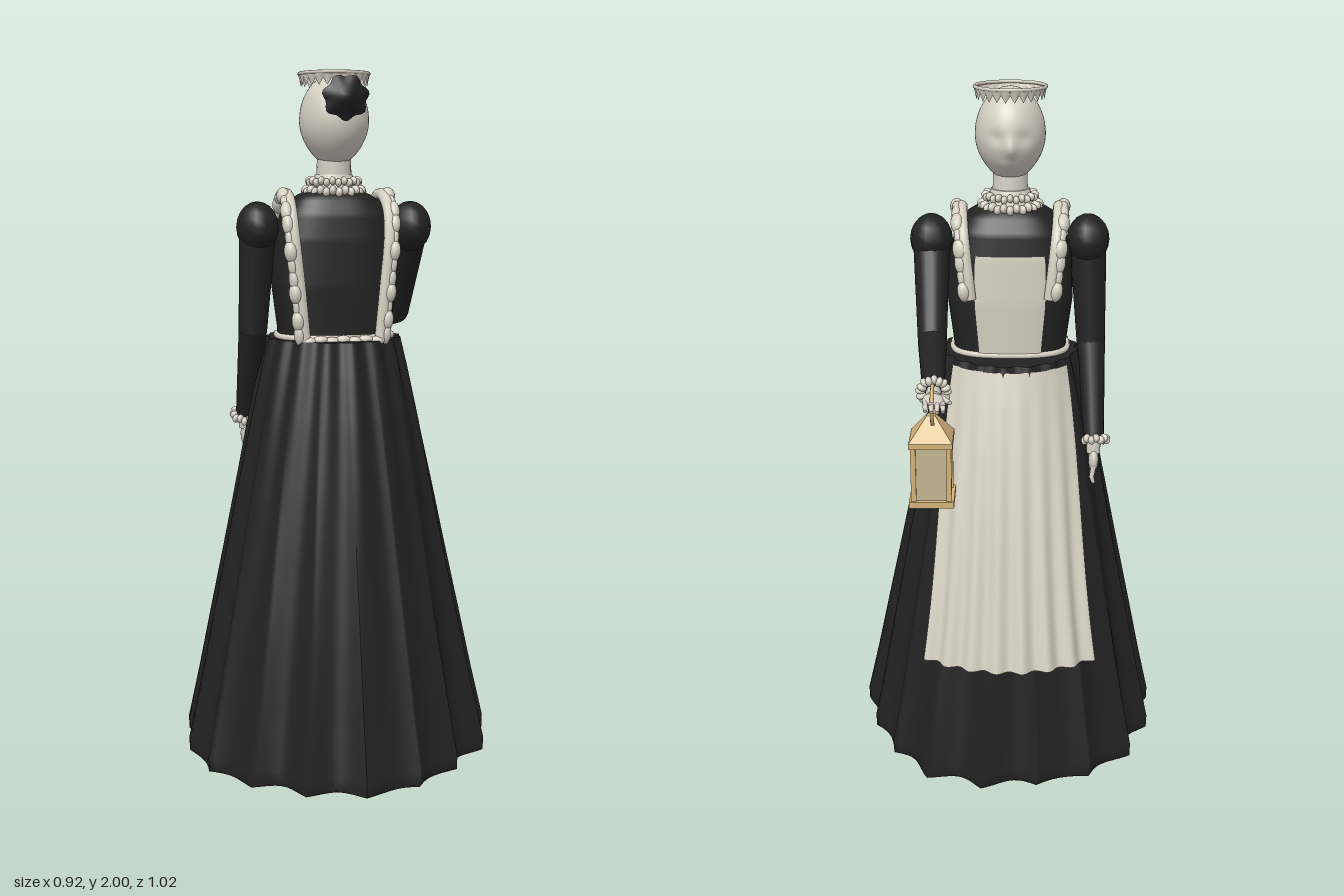
import * as THREE from 'three';
import { ParametricGeometry } from 'three/addons/geometries/ParametricGeometry.js';

const mat = (name, color, side = THREE.FrontSide) => {
  const m = new THREE.MeshStandardMaterial({ color, side });
  m.name = name;
  return m;
};
const V = (x, y, z) => new THREE.Vector3(x, y, z);
const UP = V(0, 1, 0);

// Piecewise-linear lookup: rows are [y, a, b, ...], ascending in y
function sample(rows, y) {
  let i = 0;
  while (i < rows.length - 2 && y > rows[i + 1][0]) i++;
  const t = THREE.MathUtils.clamp((y - rows[i][0]) / (rows[i + 1][0] - rows[i][0]), 0, 1);
  return rows[i].map((a, k) => a + (rows[i + 1][k] - a) * t);
}

// Skirt: round bell whose pleats deepen toward the hem
const SKIRT = [[0, 0.436], [0.03, 0.44], [0.2, 0.405], [0.4, 0.367], [0.6, 0.328], [0.8, 0.29], [1, 0.25], [1.15, 0.217], [1.24, 0.195]];
function skirtPoint(a, y, out, target) {
  const k = Math.pow(1 - y / 1.24, 1.2);
  const pleat = 0.02 - 0.034 * Math.abs(Math.sin(a * 8.5)) + 0.01 * Math.sin(a * 5 + 1) + 0.007 * Math.sin(a * 13);
  const r = sample(SKIRT, y)[1] + pleat * k + 0.006 * Math.sin(a * 17) * (1 - k) + out;
  return target.set(Math.sin(a) * r, y, 0.043 + 0.012 * k + Math.cos(a) * r * 1.02);
}

// Torso: rounded-square sections [y, half width, half depth]
const TORSO = [[1.2, 0.165, 0.12], [1.26, 0.165, 0.12], [1.4, 0.183, 0.127], [1.52, 0.178, 0.125], [1.6, 0.155, 0.115], [1.645, 0.125, 0.09], [1.67, 0.06, 0.06]];
function torsoPoint(a, y, out, target) {
  const [, rx, rz] = sample(TORSO, y);
  const p = (v) => Math.sign(v) * Math.pow(Math.abs(v), 0.72);
  return target.set(p(Math.sin(a)) * (rx + out), y, 0.055 + p(Math.cos(a)) * (rz + out));
}

export function createModel() {
  const model = new THREE.Group();
  const black = mat('black cloth', 0x222222, THREE.DoubleSide);
  const hairMat = mat('black hair', 0x1b1b1d);
  const white = mat('ivory cloth', 0xd6d0c2, THREE.DoubleSide);
  const skin = mat('pale skin', 0xd4cec2);
  const brass = mat('pale brass', 0xd6b47a);
  const glass = mat('lantern glass', 0xc4b592);

  const add = (name, geo, material, parent = model) => {
    const m = new THREE.Mesh(geo, material);
    m.name = name;
    parent.add(m);
    return m;
  };
  const group = (name) => {
    const g = new THREE.Group();
    g.name = name;
    model.add(g);
    return g;
  };
  const blob = (name, pos, sx, sy, sz, material, parent = model) => {
    const m = add(name, new THREE.SphereGeometry(1, 14, 10), material, parent);
    m.position.copy(pos);
    m.scale.set(sx, sy, sz);
    return m;
  };
  const limb = (name, a, b, ra, rb, material, parent) => {
    const d = b.clone().sub(a);
    const m = add(name, new THREE.CylinderGeometry(rb, ra, d.length(), 18), material, parent);
    m.position.copy(a).addScaledVector(d, 0.5);
    m.quaternion.setFromUnitVectors(UP, d.normalize());
    return m;
  };
  // Ring of small ruffles around an axis
  const ruffleRing = (name, pos, axis, r, n, size, parent = model) => {
    const g = new THREE.Group();
    g.name = name;
    g.position.copy(pos);
    g.quaternion.setFromUnitVectors(UP, axis.clone().normalize());
    for (let i = 0; i < n; i++) {
      const a = (i / n) * Math.PI * 2;
      const m = blob('ruffle', V(Math.sin(a) * r, (i % 2 - 0.5) * size * 0.4, Math.cos(a) * r), size * 0.75, size, size * 1.1, white, g);
      m.rotation.y = a;
    }
    parent.add(g);
  };

  // Dress
  add('skirt', new ParametricGeometry((u, v, t) => skirtPoint(u * Math.PI * 2, v * 1.24, 0, t), 204, 30), black);
  for (const [name, y] of [['skirtTop', 1.24], ['skirtUnderside', 0.004]]) {
    add(name, new ParametricGeometry((u, v, t) => {
      skirtPoint(u * Math.PI * 2, y, 0, t);
      t.set(t.x * (1 - v), y, 0.05 + (t.z - 0.05) * (1 - v));
    }, 204, 2), black);
  }
  add('bodice', new ParametricGeometry((u, v, t) => torsoPoint(u * Math.PI * 2, 1.2 + v * 0.47, 0, t), 64, 28), black);

  // Apron, bib and waistband
  add('apron', new ParametricGeometry((u, v, t) => {
    const y = 0.375 + v * 0.85;
    const half = 0.64 + 0.26 * v * v;
    skirtPoint(Math.PI + (u * 2 - 1) * half, y, 0.014, t);
    const a = Math.PI + (u * 2 - 1) * half;
    const r = sample(SKIRT, y)[1] + 0.012 + (1 - v) * (0.032 + 0.009 * Math.cos(u * Math.PI * 14));
    t.set(Math.sin(a) * r, y, 0.05 + Math.cos(a) * r * 1.02);
  }, 90, 24), white);
  add('bib', new ParametricGeometry((u, v, t) => torsoPoint(Math.PI + (u * 2 - 1) * (0.42 + 0.03 * v), 1.24 + v * 0.3, 0.007, t), 24, 12), white);
  const waist = [];
  for (let i = 0; i < 40; i++) waist.push(torsoPoint((i / 40) * Math.PI * 2, 1.246, 0.003, V(0, 0, 0)));
  add('waistband', new THREE.TubeGeometry(new THREE.CatmullRomCurve3(waist, true), 100, 0.009, 8, true), white);
  const backBow = group('backWaistRuffle');
  for (let i = 0; i < 7; i++) {
    blob('ruffle', V((i - 3) * 0.033, 1.24 + (i % 2) * 0.004, 0.195), 0.022, 0.013, 0.017, white, backBow);
  }

  // Ruffled shoulder straps
  for (const s of [1, -1]) {
    const g = group(s > 0 ? 'leftStrap' : 'rightStrap');
    const path = new THREE.CatmullRomCurve3([
      [0.11, 1.24, 0.19], [0.125, 1.4, 0.19], [0.138, 1.53, 0.182], [0.142, 1.61, 0.15], [0.14, 1.652, 0.08],
      [0.138, 1.645, 0.01], [0.132, 1.59, -0.05], [0.122, 1.5, -0.073], [0.112, 1.41, -0.078], [0.1, 1.25, -0.07],
    ].map(([x, y, z]) => V(s * x, y, z)));
    const band = new THREE.CatmullRomCurve3(path.getSpacedPoints(40).slice(0, 34));
    add('strapBand', new THREE.TubeGeometry(band, 70, 0.017, 10), white, g);
    for (let i = 0; i < 20; i++) {
      const t = 0.02 + (i / 19) * 0.78;
      const p = path.getPointAt(t);
      const big = 1 + 0.25 * Math.sin(i * 2.4);
      p.x += s * 0.014;
      const m = blob('strapRuffle', p, 0.016 * big, 0.032, 0.019 * big, white, g);
      m.quaternion.setFromUnitVectors(UP, path.getTangentAt(t));
    }
  }

  // Neck, collar and head
  limb('neck', V(0, 1.64, 0.055), V(0, 1.78, 0.06), 0.054, 0.048, skin, model);
  limb('collarBand', V(0, 1.655, 0.055), V(0, 1.71, 0.055), 0.076, 0.055, white, model);
  ruffleRing('lowerCollar', V(0, 1.663, 0.055), UP, 0.08, 28, 0.014);
  ruffleRing('upperCollar', V(0, 1.69, 0.055), UP, 0.07, 26, 0.012);
  const head = new THREE.SphereGeometry(1, 56, 44);
  const hp = head.attributes.position;
  const bump = (x, y, cx, cy, w, h) => Math.exp(-(((x - cx) / w) ** 2) - ((y - cy) / h) ** 2);
  for (let i = 0; i < hp.count; i++) {
    const p = V(0, 0, 0).fromBufferAttribute(hp, i);
    const jaw = p.y < 0 ? 1 - 0.2 * p.y * p.y : 1;
    const q = V(p.x * 0.1 * jaw, p.y * 0.132, p.z * 0.115 * jaw);
    if (p.z < 0) {
      q.z -= 0.016 * bump(p.x, p.y, 0, -0.22, 0.16, 0.2) + 0.005 * bump(p.x, p.y, 0, -0.55, 0.25, 0.1);
      q.z += 0.009 * (bump(p.x, p.y, 0.38, 0.02, 0.2, 0.14) + bump(p.x, p.y, -0.38, 0.02, 0.2, 0.14));
    }
    hp.setXYZ(i, q.x, q.y, q.z);
  }
  head.computeVertexNormals();
  add('head', head, skin).position.set(0, 1.862, 0.06);

  // Lace cap with a pointed lower edge
  const cap = group('laceCap');
  add('capLace', new ParametricGeometry((u, v, t) => {
    const a = u * Math.PI * 2;
    const point = Math.abs(((u * 24) % 1) * 2 - 1);
    const r = 0.095 + 0.008 * v;
    t.set(Math.sin(a) * r, 1.958 + 0.02 * point * (1 - v) + 0.036 * v, 0.06 + Math.cos(a) * r);
  }, 192, 3), white, cap);
  const rim = add('capRim', new THREE.TorusGeometry(0.1, 0.005, 8, 60), white, cap);
  rim.position.set(0, 1.994, 0.06);
  rim.rotation.x = Math.PI / 2;

  // Hair bun: lumpy flattened knot behind the head
  const bun = new THREE.SphereGeometry(1, 32, 20);
  const bp = bun.attributes.position;
  for (let i = 0; i < bp.count; i++) {
    const x = bp.getX(i), y = bp.getY(i), z = bp.getZ(i);
    const r = 0.06 + 0.005 * Math.sin(Math.atan2(y, x) * 7) * Math.hypot(x, y);
    bp.setXYZ(i, x * r * 1.05, y * r, Math.sign(z) * 0.024 * (1 - Math.hypot(x, y) * 0.999));
  }
  bun.computeVertexNormals();
  add('hairBun', bun, hairMat).position.set(0, 1.92, 0.226);

  // Arms: shoulder puff, sleeve, cuff and hand
  const arm = (name, shoulder, elbow, wrist) => {
    const g = group(name);
    blob('sleevePuff', shoulder, 0.062, 0.074, 0.074, black, g);
    limb('upperSleeve', shoulder, elbow, 0.054, 0.042, black, g);
    blob('elbow', elbow, 0.042, 0.042, 0.042, black, g);
    limb('foreSleeve', elbow, wrist, 0.042, 0.03, black, g);
    ruffleRing('cuff', wrist, wrist.clone().sub(elbow), 0.035, 16, 0.013, g);
    return g;
  };
  // Hand modelled along +y, thumb toward side
  const hand = (parent, wrist, dir, side, twist) => {
    const g = new THREE.Group();
    g.name = 'hand';
    g.position.copy(wrist);
    g.quaternion.setFromUnitVectors(UP, dir.normalize());
    g.rotateY(twist);
    parent.add(g);
    limb('wrist', V(0, -0.01, 0), V(0, 0.04, 0), 0.02, 0.02, skin, g);
    blob('palm', V(0, 0.06, 0), 0.032, 0.038, 0.015, skin, g);
    for (let i = 0; i < 4; i++) {
      const x = (i - 1.5) * 0.0155;
      const len = 0.135 - 0.006 * Math.abs(i - 1.5);
      limb('finger', V(x, 0.075, 0), V(x, 0.11, 0.006), 0.0075, 0.007, skin, g);
      limb('fingerTip', V(x, 0.108, 0.006), V(x, len, 0), 0.007, 0.005, skin, g);
    }
    limb('thumb', V(side * 0.02, 0.04, 0), V(side * 0.042, 0.085, 0.008), 0.01, 0.006, skin, g);
  };
  const wristL = V(0.205, 1.238, -0.355), wristR = V(-0.247, 0.99, -0.075);
  const armL = arm('leftArm', V(0.228, 1.56, 0.06), V(0.222, 1.3, -0.09), wristL);
  hand(armL, wristL, V(-0.04, -0.06, -0.6), -1, 0);
  const armR = arm('rightArm', V(-0.225, 1.56, 0.06), V(-0.238, 1.26, 0.035), wristR);
  hand(armR, wristR, V(0, -1, -0.12), 1, Math.PI / 2);

  // Lantern hanging from the left hand
  const lantern = group('lantern');
  lantern.position.set(0.21, 0, -0.397);
  const box = (name, x, y, z, w, h, d, m) => add(name, new THREE.BoxGeometry(w, h, d), m, lantern).position.set(x, y, z);
  box('base', 0, 0.947, 0, 0.122, 0.018, 0.122, brass);
  box('topFrame', 0, 1.116, 0, 0.118, 0.016, 0.118, brass);
  box('panes', 0, 1.03, 0, 0.098, 0.16, 0.098, glass);
  for (const x of [-1, 1]) for (const z of [-1, 1]) box('post', x * 0.048, 1.03, z * 0.048, 0.014, 0.16, 0.014, brass);
  const roof = add('roof', new THREE.CylinderGeometry(0.016, 0.084, 0.065, 4, 1).toNonIndexed(), brass, lantern);
  roof.geometry.computeVertexNormals();
  roof.position.y = 1.155;
  roof.rotation.y = Math.PI / 4;
  const ring = add('handleRing', new THREE.TorusGeometry(0.052, 0.005, 8, 36), brass, lantern);
  ring.position.set(-0.005, 1.215, 0);
  ring.rotation.y = Math.PI / 2;

  return model;
}
